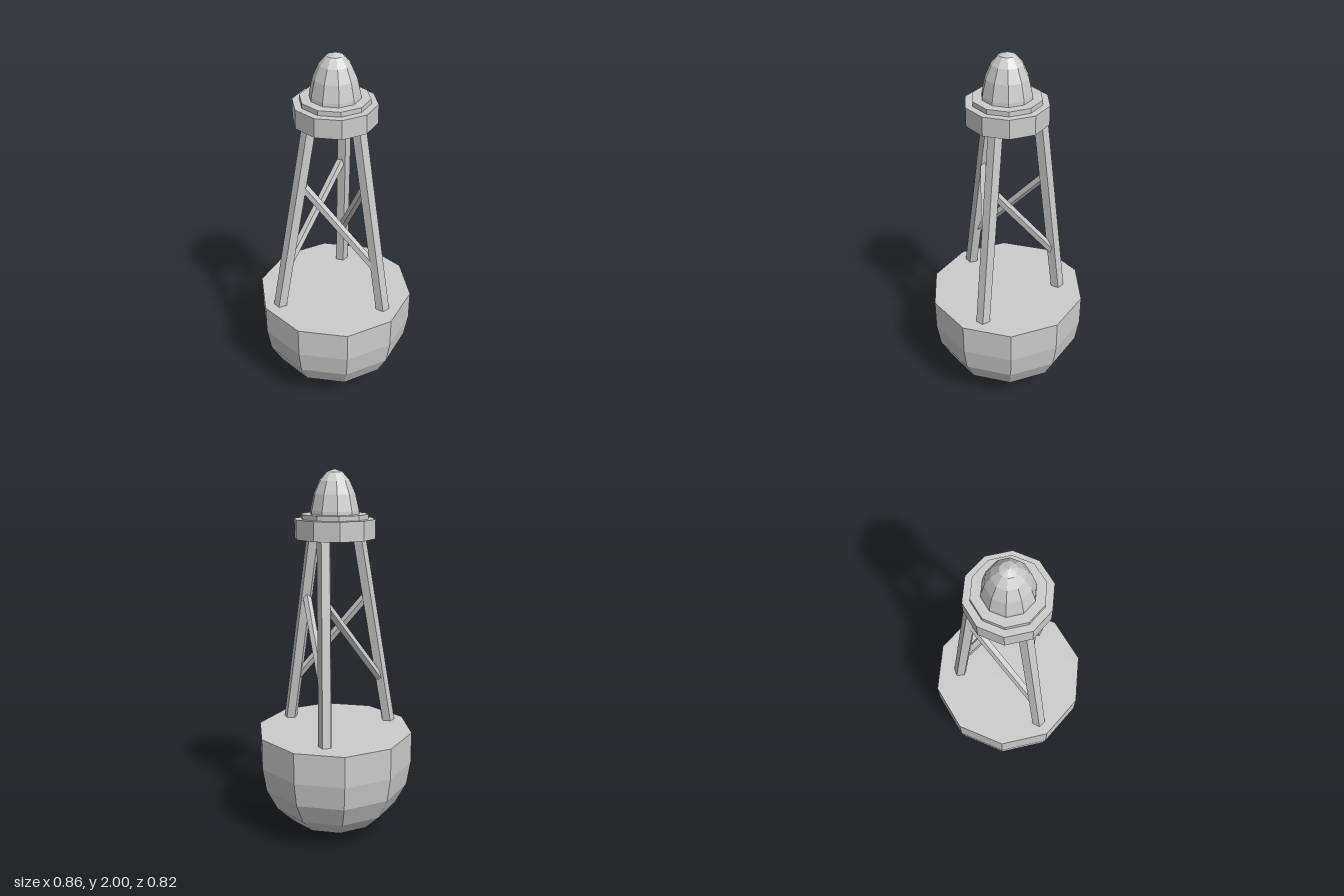
import * as THREE from 'three';

const SIDES = 10;

export function createModel() {
  const model = new THREE.Group();
  const material = new THREE.MeshStandardMaterial({ color: 0xcccccc, flatShading: true });

  const add = (name, geometry) => {
    const mesh = new THREE.Mesh(geometry, material);
    mesh.name = name;
    model.add(mesh);
    return mesh;
  };

  // Ten-sided turned part with a corner on the x axis
  const turned = (name, profile) => add(name, new THREE.LatheGeometry(
    profile.map(([r, y]) => new THREE.Vector2(r, y)), SIDES, Math.PI / 10));

  // Five-sided bar between two points, twisted about its own axis
  const bar = (name, from, to, radius, twist = 0) => {
    const span = to.clone().sub(from);
    const geometry = new THREE.CylinderGeometry(radius, radius, span.length(), 5);
    geometry.rotateY(-THREE.MathUtils.degToRad(twist));
    const mesh = add(name, geometry);
    mesh.position.copy(from).lerp(to, 0.5);
    mesh.quaternion.setFromUnitVectors(new THREE.Vector3(0, 1, 0), span.normalize());
  };

  // Float: half sphere below a short straight wall, closed by a flat deck
  const hull = [];
  for (let i = 0; i <= 5; i++) {
    const a = (i * Math.PI) / 10;
    hull.push([0.43 * Math.sin(a), 0.43 * (1 - Math.cos(a))]);
  }
  turned('floatHull', [...hull, [0.43, 0.6], [0, 0.6]]);

  // Three splayed legs, given at deck height and at the platform underside
  const legs = [
    { name: 'rightLeg', low: [-0.337, 0], high: [-0.14, 0], twist: 40 },
    { name: 'frontLeg', low: [0.148, 0.285], high: [0.066, 0.125], twist: 22.5 },
    { name: 'backLeg', low: [0.162, -0.236], high: [0.113, -0.12], twist: 11 },
  ];
  const pointOnLeg = ({ low, high }, y) => {
    const t = (y - 0.6) / 1.05;
    return new THREE.Vector3(
      THREE.MathUtils.lerp(low[0], high[0], t), y, THREE.MathUtils.lerp(low[1], high[1], t));
  };
  legs.forEach((leg, i) => {
    bar(leg.name, pointOnLeg(leg, 0.57), pointOnLeg(leg, 1.69), 0.038, leg.twist);
    // Diagonal brace down to the next leg
    bar('brace' + (i + 1), pointOnLeg(leg, 1.34), pointOnLeg(legs[(i + 1) % 3], 0.84), 0.024);
  });

  // Lantern platform and its raised ring
  turned('platform', [[0, 1.65], [0.215, 1.65], [0.215, 1.75], [0, 1.75]]);
  turned('lanternRing', [[0, 1.74], [0.178, 1.74], [0.178, 1.775], [0, 1.775]]);

  // Lantern: tall half ellipsoid
  const dome = [];
  for (let i = 0; i <= 5; i++) {
    const a = (i * Math.PI) / 10;
    dome.push([0.135 * Math.cos(a), 1.7 + 0.3 * Math.sin(a)]);
  }
  turned('lanternDome', dome);

  return model;
}
